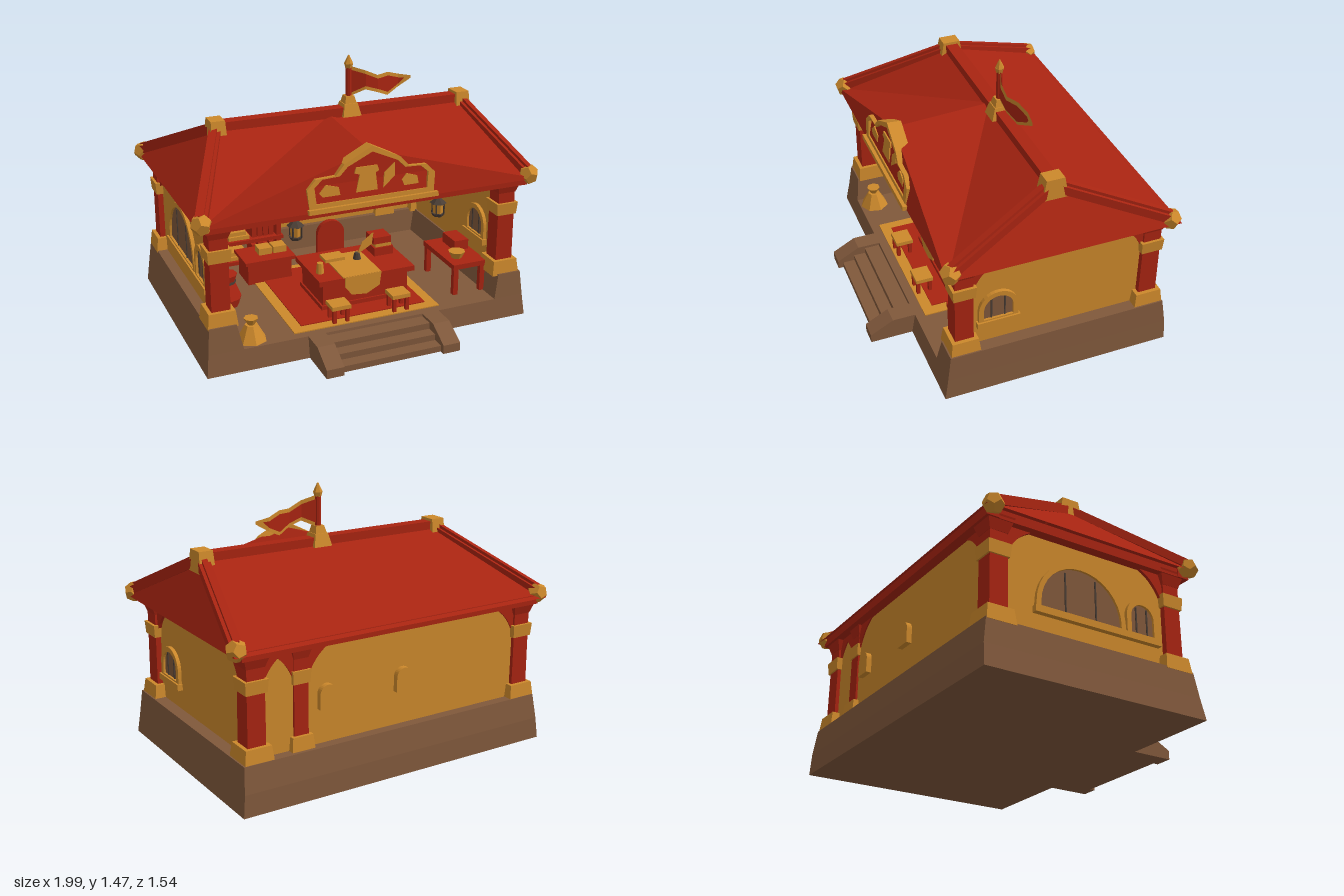
import * as THREE from 'three';

const mat = (name, color) => new THREE.MeshStandardMaterial({ name, color, flatShading: true, side: THREE.DoubleSide });
const RED = mat('red timber', 0xa82411), GOLD = mat('gold plaster', 0xcc882b);
const BROWN = mat('brown stone', 0x80583b), DARK = mat('dark metal', 0x4a3d35);

export function createModel() {
  const root = new THREE.Group();
  const add = (name, geo, m, x = 0, y = 0, z = 0, parent = root) => {
    const o = new THREE.Mesh(geo, m);
    o.name = name;
    o.position.set(x, y, z);
    parent.add(o);
    return o;
  };
  const group = (name, x = 0, y = 0, z = 0, ry = 0) => {
    const g = new THREE.Group();
    g.name = name;
    g.position.set(x, y, z);
    g.rotation.y = ry;
    root.add(g);
    return g;
  };
  // Box given by its ranges
  const box = (name, m, x0, x1, y0, y1, z0, z1, p = root) =>
    add(name, new THREE.BoxGeometry(x1 - x0, y1 - y0, z1 - z0), m, (x0 + x1) / 2, (y0 + y1) / 2, (z0 + z1) / 2, p);
  // Tapered block: bottom and top are [x0, x1, z0, z1]
  const block = (name, m, b, y0, t, y1, p = root) => {
    const g = new THREE.BoxGeometry(1, 1, 1), a = g.attributes.position;
    for (let i = 0; i < a.count; i++) {
      const top = a.getY(i) > 0, r = top ? t : b;
      a.setXYZ(i, a.getX(i) < 0 ? r[0] : r[1], top ? y1 : y0, a.getZ(i) < 0 ? r[2] : r[3]);
    }
    g.computeVertexNormals();
    return add(name, g, m, 0, 0, 0, p);
  };
  const beam = (name, m, p, q, w, h) => {
    const a = new THREE.Vector3(...p), b = new THREE.Vector3(...q);
    const o = add(name, new THREE.BoxGeometry(w, h, a.distanceTo(b)), m);
    o.position.copy(a).lerp(b, 0.5);
    o.lookAt(b);
    return o;
  };
  const cyl = (name, m, r1, r0, h, x, y, z, n = 8, p = root) => add(name, new THREE.CylinderGeometry(r1, r0, h, n), m, x, y, z, p);
  const poly = pts => new THREE.Shape(pts.map(p => new THREE.Vector2(...p)));
  const extrude = (s, depth) => new THREE.ExtrudeGeometry(s, { depth, bevelEnabled: false, curveSegments: 8 });
  const arch = (w, h, y = 0) => {
    const s = new THREE.Shape(), r = Math.min(w / 2, h - 0.02);
    s.moveTo(-w / 2, y).lineTo(w / 2, y).lineTo(w / 2, y + h - r);
    s.absellipse(0, y + h - r, w / 2, r, 0, Math.PI, false);
    return s.closePath();
  };
  const frame = (outer, inner) => { outer.holes.push(inner); return outer; };

  // Stone base with raised curbs
  block('floorBase', BROWN, [-0.96, 0.94, -0.77, 0.53], 0, [-0.945, 0.93, -0.765, 0.51], 0.12);
  for (const s of [-1, 1]) {
    const o = s < 0 ? -0.945 : 0.93, t = s < 0 ? -0.93 : 0.92, i = s * 0.75, j = s * 0.78;
    block('sideCurb', BROWN, [Math.min(o, i), Math.max(o, i), -0.765, 0.51], 0.12, [Math.min(t, j), Math.max(t, j), -0.745, 0.49], 0.26);
  }
  block('backCurb', BROWN, [-0.945, 0.93, -0.765, -0.58], 0.12, [-0.93, 0.92, -0.745, -0.6], 0.26);

  // Entrance steps with sloped cheeks
  const cheek = poly([[0.48, 0], [0.48, 0.12], [0.64, 0.12], [0.77, 0.05], [0.77, 0]]);
  for (const x of [-0.39, 0.29]) add('stepCheek', extrude(cheek, 0.1), BROWN, x + 0.1).rotation.y = -Math.PI / 2;
  for (const o of root.children) if (o.name === 'stepCheek') o.position.x = o.position.x;
  for (let i = 0; i < 3; i++) box('step', BROWN, -0.29, 0.29, 0, 0.035 * (3 - i), 0.5, 0.6 + i * 0.07);

  // Walls
  box('backWall', GOLD, -0.85, 0.83, 0.25, 0.83, -0.69, -0.63);
  box('rightWall', GOLD, -0.87, -0.81, 0.25, 0.83, -0.66, 0.4);
  box('leftWall', GOLD, 0.79, 0.85, 0.25, 0.83, -0.66, 0.4);

  // Posts with plinth and collar
  const post = (x, z, w) => {
    const sq = r => [x - r, x + r, z - r, z + r];
    block('post', RED, sq(w), 0.26, sq(w * 0.95), 0.84);
    block('postPlinth', GOLD, sq(w * 1.6), 0.25, sq(w * 1.4), 0.335);
    block('postCollar', GOLD, sq(w * 1.15), 0.61, sq(w * 1.25), 0.68);
    block('postHead', RED, sq(w), 0.74, sq(w * 1.5), 0.82);
  };
  for (const x of [-0.85, 0.83]) for (const z of [0.4, -0.66]) post(x, z, 0.052);
  post(0.57, -0.66, 0.042);

  // Curved braces
  const braceShape = new THREE.Shape();
  braceShape.moveTo(0, 0).lineTo(0, 0.18).lineTo(0.18, 0.18).quadraticCurveTo(0.05, 0.14, 0, 0);
  const braceGeo = extrude(braceShape, 0.075).translate(0, 0, -0.0375);
  const brace = (x, z, ry) => { add('brace', braceGeo, RED, x, 0.63, z).rotation.y = ry; };
  for (const x of [-0.85, 0.83]) { brace(x, 0.35, Math.PI / 2); brace(x, -0.61, -Math.PI / 2); }
  brace(-0.8, -0.66, 0); brace(0.53, -0.66, Math.PI); brace(0.61, -0.66, 0); brace(0.79, -0.66, Math.PI);

  // Arched windows and wall niches
  const archWindow = (x, z, ry, w, h) => {
    const g = group('window', x, 0.39, z, ry), b = 0.028;
    add('windowFrame', extrude(frame(arch(w, h), arch(w - 2 * b, h - 2 * b, b)), 0.1), GOLD, 0, 0, -0.05, g);
    add('windowPane', extrude(arch(w - 2 * b, h - 2 * b, b), 0.074), BROWN, 0, 0, -0.037, g);
    for (const k of [-0.17, 0.17]) box('windowBar', DARK, k * w - 0.004, k * w + 0.004, b, h * 0.8, -0.042, 0.042, g);
    box('windowSill', GOLD, -w / 2 - 0.01, w / 2 + 0.01, -0.015, 0.02, -0.06, 0.06, g);
  };
  archWindow(0.82, 0.205, Math.PI / 2, 0.22, 0.2);
  archWindow(-0.84, 0.21, -Math.PI / 2, 0.2, 0.22);
  archWindow(-0.84, -0.17, -Math.PI / 2, 0.54, 0.31);
  for (const x of [-0.05, 0.42]) {
    add('wallNiche', extrude(arch(0.1, 0.13), 0.05), GOLD, x, 0.45, -0.72);
    box('wallShelf', GOLD, x - 0.06, x + 0.06, 0.465, 0.48, -0.63, -0.55);
    box('shelfBook', RED, x - 0.03, x + 0.03, 0.48, 0.505, -0.62, -0.57);
  }

  // Roof: hipped, with a wide shallow gable on the front
  const L = -0.97, R = 0.97, E = 0.83, B = -0.77, F = 0.52;
  const rl = [-0.68, 1.15, -0.1], rr = [0.8, 1.15, -0.1], mid = [-0.02, 1.14, -0.09], apex = [-0.02, 1.11, 0.46];
  const fl = [L, E, F], fr = [R, E, F], bl = [L, E, B], br = [R, E, B];
  const roof = new THREE.BufferGeometry();
  roof.setAttribute('position', new THREE.Float32BufferAttribute([
    bl, rl, rr, bl, rr, br, // back
    fl, rl, bl, br, rr, fr, // ends
    fl, mid, rl, fl, apex, mid, fr, mid, apex, fr, rr, mid, // front folds
    fl, fr, apex].flat(), 3));
  roof.computeVertexNormals();
  add('roof', roof, RED);
  for (const z of [0.47, -0.71]) box('eaveBeam', RED, -0.93, 0.92, 0.795, 0.845, z - 0.035, z + 0.035);
  for (const x of [-0.89, 0.88]) box('eaveBeam', RED, x - 0.035, x + 0.035, 0.795, 0.845, -0.72, 0.48);
  box('ridgeBeam', RED, -0.66, 0.78, 1.12, 1.18, -0.135, -0.065);
  for (const [x, cx] of [[-0.68, -0.945], [0.8, 0.935]]) {
    for (const z of [0.49, -0.72]) {
      beam('hipBeam', RED, [x, 1.14, -0.1], [cx, 0.86, z], 0.065, 0.045);
      beam('hipRidge', RED, [x, 1.16, -0.1], [cx, 0.88, z], 0.03, 0.04);
      const k = add('cornerKnob', new THREE.DodecahedronGeometry(0.058), GOLD, cx, 0.85, z);
      k.rotation.set(0.3, 0.5, 0);
    }
    block('ridgeCap', GOLD, [x - 0.045, x + 0.045, -0.17, -0.03], 1.08, [x - 0.04, x + 0.04, -0.15, -0.05], 1.195);
  }

  // Front sign panel
  const outline = k => poly([[-0.36, -0.14], [-0.37, -0.03], [-0.32, 0.02], [-0.21, 0.025], [-0.16, 0.08], [0, 0.16],
    [0.16, 0.08], [0.21, 0.025], [0.31, 0.02], [0.36, -0.03], [0.35, -0.14]].map(([x, y]) => [x * k, y * (k < 1 ? 0.8 : 1)]));
  const sign = group('sign', -0.02, 0.98, 0.43);
  sign.rotation.x = -0.08;
  add('signBorder', extrude(frame(outline(1), outline(0.89)), 0.08), GOLD, 0, 0, 0, sign);
  add('signPanel', extrude(outline(0.9), 0.06), RED, 0, 0, 0, sign);
  box('signSill', GOLD, -0.37, 0.37, -0.16, -0.135, 0, 0.1, sign);
  const flat = (name, pts) => add(name, extrude(poly(pts), 0.008), GOLD, 0, 0, 0.06, sign);
  flat('signScroll', [[-0.1, 0.02], [-0.09, 0.05], [0.03, 0.05], [0.04, 0.02], [0.02, 0.01], [0.03, -0.09], [-0.1, -0.1], [-0.07, 0.01]]);
  flat('signLeaf', [[0.06, -0.08], [0.07, 0], [0.13, 0.05], [0.13, -0.02]]);
  flat('signFlower', [[-0.3, -0.06], [-0.26, -0.02], [-0.19, -0.04], [-0.18, -0.1], [-0.26, -0.11]]);
  flat('signFlower', [[0.17, -0.05], [0.2, -0.02], [0.26, -0.04], [0.27, -0.1], [0.19, -0.1]]);

  // Flagpole and waving pennant
  block('flagBase', GOLD, [0.045, 0.155, -0.16, -0.04], 1.13, [0.06, 0.14, -0.14, -0.06], 1.2);
  block('flagSocket', GOLD, [0.065, 0.135, -0.135, -0.065], 1.2, [0.075, 0.125, -0.125, -0.075], 1.24);
  cyl('flagPole', RED, 0.018, 0.018, 0.18, 0.1, 1.32, -0.1);
  cyl('flagFinial', GOLD, 0.026, 0.018, 0.03, 0.1, 1.41, -0.1, 6);
  cyl('flagFinialTip', GOLD, 0.004, 0.026, 0.048, 0.1, 1.447, -0.1, 6);
  const mids = [1.32, 1.325, 1.295, 1.28, 1.285, 1.3], halves = [0.085, 0.055, 0.05, 0.068, 0.038, 0.008];
  const pennant = (inset, dz) => {
    const g = new THREE.PlaneGeometry(1, 1, 5, 1), a = g.attributes.position;
    for (let i = 0; i < a.count; i++) {
      const k = i % 6, h = Math.max(halves[k] - inset, 0);
      a.setXYZ(i, 0.115 + k * 0.076 - (inset && k === 5 ? 0.04 : 0), mids[k] + (i < 6 ? h : -h), -0.1 + 0.03 * Math.sin(k * 1.1) + dz);
    }
    g.computeVertexNormals();
    return g;
  };
  add('flagBorder', pennant(0, 0), GOLD);
  for (const dz of [-0.006, 0.006]) add('flagField', pennant(0.02, dz), RED);

  // Rug
  box('rugBorder', GOLD, -0.45, 0.42, 0.12, 0.126, -0.35, 0.46);
  box('rugField', RED, -0.39, 0.36, 0.12, 0.131, -0.3, 0.4);

  // Desk with papers, books and quill
  box('deskBody', RED, -0.21, 0.31, 0.13, 0.29, -0.05, 0.27);
  box('deskTop', RED, -0.24, 0.34, 0.285, 0.315, -0.08, 0.3);
  box('deskFoot', RED, -0.22, 0.32, 0.13, 0.155, -0.06, 0.28);
  add('deskCloth', extrude(poly([[-0.09, 0.32], [0.13, 0.32], [0.12, 0.24], [0.04, 0.2], [-0.05, 0.21], [-0.09, 0.26]]), 0.008), GOLD, 0, 0, 0.3);
  box('deskPaper', GOLD, -0.1, 0.13, 0.315, 0.322, 0, 0.305);
  box('openBook', GOLD, -0.12, 0, 0.32, 0.34, 0, 0.09);
  box('deskBook', RED, 0.18, 0.3, 0.315, 0.365, -0.02, 0.1);
  box('deskBookPages', GOLD, 0.19, 0.29, 0.365, 0.385, -0.01, 0.09);
  box('deskBook', RED, 0.18, 0.29, 0.385, 0.425, -0.02, 0.09);
  cyl('inkwell', DARK, 0.015, 0.025, 0.04, 0.07, 0.34, 0.1);
  add('quill', extrude(poly([[0.07, 0.35], [0.1, 0.42], [0.17, 0.47], [0.16, 0.4]]), 0.006), GOLD, 0, 0, 0.1);
  cyl('candle', GOLD, 0.018, 0.025, 0.06, -0.19, 0.345, 0.18);
  add('chairBack', extrude(arch(0.17, 0.33), 0.03), RED, 0.02, 0.13, -0.2);
  box('chairSeat', RED, -0.06, 0.1, 0.21, 0.24, -0.18, -0.08);

  // Stools
  for (const x of [-0.17, 0.19]) {
    box('stoolSeat', GOLD, x - 0.055, x + 0.055, 0.205, 0.228, 0.35, 0.45);
    for (const dx of [-0.038, 0.038]) for (const z of [0.365, 0.435]) box('stoolLeg', RED, x + dx - 0.01, x + dx + 0.01, 0.12, 0.207, z - 0.01, z + 0.01);
  }

  // Bookcase and low cabinet
  for (const x of [-0.56, -0.22]) box('bookcaseSide', RED, x, x + 0.03, 0.12, 0.69, -0.62, -0.46);
  for (let i = 0; i < 5; i++) {
    const y = 0.15 + i * 0.13;
    box('bookcaseShelf', RED, -0.57, -0.18, y - 0.01, y + 0.012, -0.62, -0.45);
    if (i === 4) break;
    for (let j = 0; j < 4; j++) box('book', RED, -0.37 + j * 0.036, -0.34 + j * 0.036, y, y + 0.09 + (j % 2) * 0.012, -0.6, -0.48);
    for (let j = 0; j < 2; j++) box('scrollStack', GOLD, -0.52, -0.39 - j * 0.02, y + 0.012 + j * 0.03, y + 0.035 + j * 0.03, -0.6, -0.47);
  }
  box('bookcaseBack', BROWN, -0.55, -0.2, 0.14, 0.67, -0.63, -0.615);
  box('lowCabinet', RED, -0.49, -0.22, 0.12, 0.25, -0.38, -0.2);
  box('lowCabinetTop', RED, -0.51, -0.2, 0.25, 0.27, -0.4, -0.18);
  for (const x of [-0.36, -0.27]) box('cabinetScroll', GOLD, x - 0.04, x + 0.04, 0.27, 0.31, -0.34, -0.26);

  // Side counter
  box('counterTop', RED, 0.55, 0.76, 0.28, 0.31, 0, 0.38);
  for (const x of [0.57, 0.74]) for (const z of [0.02, 0.36]) box('counterLeg', RED, x - 0.015, x + 0.015, 0.12, 0.28, z - 0.015, z + 0.015);
  box('counterChest', RED, 0.65, 0.74, 0.31, 0.37, 0.05, 0.2);
  cyl('counterBowl', GOLD, 0.05, 0.03, 0.04, 0.62, 0.33, 0.28);

  // Sacks and barrel
  for (const [x, z] of [[-0.68, 0.42], [-0.65, -0.29]]) {
    cyl('sack', GOLD, 0.035, 0.085, 0.09, x, 0.165, z, 7);
    cyl('sackNeck', GOLD, 0.04, 0.018, 0.04, x, 0.228, z, 7);
  }
  add('redPot', new THREE.LatheGeometry([[0.07, 0], [0.085, 0.05], [0.05, 0.14], [0.065, 0.19], [0, 0.19]].map(p => new THREE.Vector2(...p)), 9), RED, -0.68, 0.12, -0.02);
  cyl('potBand', DARK, 0.056, 0.056, 0.015, -0.68, 0.265, -0.02, 9);

  // Hanging lanterns
  for (const x of [-0.41, 0.43]) {
    cyl('lanternHook', DARK, 0.006, 0.006, 0.08, x, 0.77, 0.39, 5);
    cyl('lanternCap', DARK, 0.012, 0.048, 0.03, x, 0.735, 0.39, 6);
    cyl('lanternGlass', GOLD, 0.032, 0.027, 0.06, x, 0.69, 0.39, 6);
    for (let i = 0; i < 4; i++) cyl('lanternBar', DARK, 0.005, 0.005, 0.07, x + 0.034 * Math.cos(i * 1.571 + 0.78), 0.69, 0.39 + 0.034 * Math.sin(i * 1.571 + 0.78), 4);
    cyl('lanternBase', DARK, 0.038, 0.03, 0.018, x, 0.652, 0.39, 6);
  }

  // Wall banner
  const shield = k => poly([[-0.11, 0.12], [0.11, 0.12], [0.115, -0.06], [0.06, -0.09], [0, -0.14], [-0.06, -0.09], [-0.115, -0.06]].map(([x, y]) => [x * k, y * k]));
  add('bannerBorder', extrude(shield(1), 0.012), GOLD, 0.19, 0.61, -0.6);
  add('bannerField', extrude(shield(0.85), 0.018), RED, 0.19, 0.61, -0.6);
  add('bannerEmblem', extrude(poly([[-0.06, -0.03], [-0.05, 0.02], [0.03, 0.03], [0.06, 0], [0.03, -0.02], [0, 0], [-0.03, -0.04]]), 0.023), GOLD, 0.19, 0.61, -0.6);
  cyl('bannerRod', DARK, 0.01, 0.01, 0.31, 0.18, 0.74, -0.59, 6).rotation.z = Math.PI / 2;
  return root;
}
